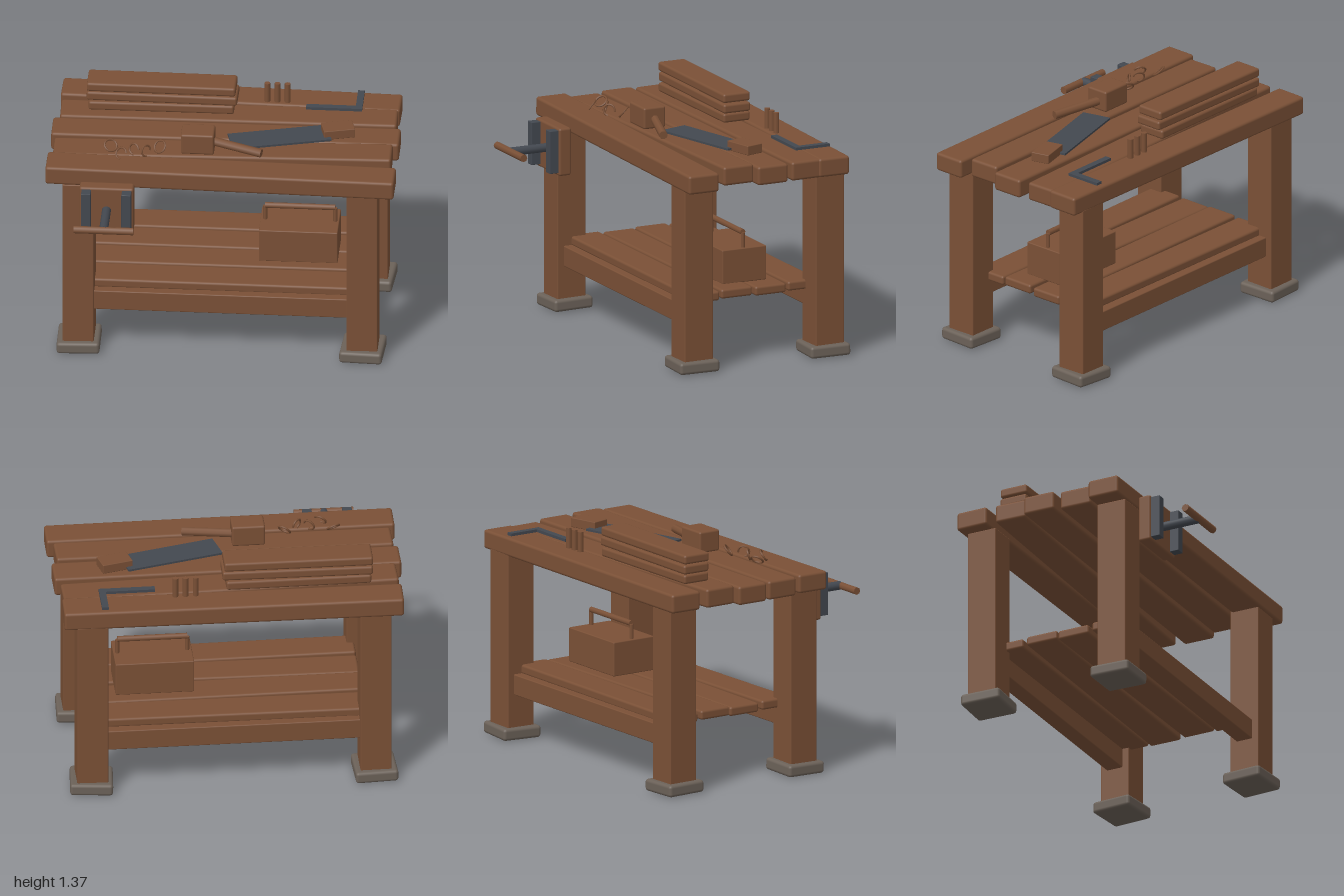
import * as THREE from 'three';
import { RoundedBoxGeometry } from 'three/addons/geometries/RoundedBoxGeometry.js';

const mat = (name, color) => Object.assign(new THREE.MeshStandardMaterial({ color }), { name });

export function createModel() {
  const wood = mat('wood', 0x7a5036);
  const steel = mat('steel', 0x434850);
  const stone = mat('stone', 0x6b6158);
  const model = new THREE.Group();
  model.name = 'workbench';

  const add = (name, geometry, material, pos, rot = [0, 0, 0], parent = model) => {
    const m = new THREE.Mesh(geometry, material);
    m.name = name;
    m.position.set(...pos);
    m.rotation.set(...rot);
    parent.add(m);
    return m;
  };
  // Softly bevelled box
  const block = (name, size, pos, rot, material = wood, bevel = 0.014, parent = model) =>
    add(name, new RoundedBoxGeometry(...size, 2, bevel), material, pos, rot, parent);
  // Round bar between two points
  const bar = (name, a, b, radius, material = wood, sides = 8, parent = model) => {
    const p = new THREE.Vector3(...a), q = new THREE.Vector3(...b);
    const m = add(name, new THREE.CylinderGeometry(radius, radius, p.distanceTo(q), sides), material, [0, 0, 0], [0, 0, 0], parent);
    m.position.copy(p).add(q).multiplyScalar(0.5);
    m.quaternion.setFromUnitVectors(new THREE.Vector3(0, 1, 0), q.sub(p).normalize());
    return m;
  };
  const group = (name) => {
    const g = new THREE.Group();
    g.name = name;
    model.add(g);
    return g;
  };

  // Uneven top boards: length, centre x, y, z, yaw, roll
  [
    [1.94, 0, 1.147, -0.585, -0.018, -0.006],
    [1.92, 0, 1.145, -0.378, 0.021, -0.006],
    [1.985, -0.002, 1.145, -0.163, 0.005, 0],
    [1.93, -0.005, 1.15, 0.05, 0.015, 0.01],
    [1.99, -0.002, 1.148, 0.265, -0.008, -0.008],
  ].forEach(([l, x, y, z, yaw, roll], i) =>
    block('topBoard' + (i + 1), [l, 0.11, 0.192], [x, y, z], [0, yaw, roll], wood, 0.016));

  // Legs and stone feet
  [[-1, 0.26, 0.01, 0.02], [1, 0.26, -0.06, 0.01], [-1, -0.575, 0.04, -0.01], [1, -0.575, -0.08, 0.02]]
    .forEach(([s, z, yaw, tilt]) => {
      block('leg', [0.178, 1.05, 0.18], [s * 0.81, 0.575, z], [0, 0, 0], wood, 0.006);
      block('foot', [0.245, 0.07, 0.245], [s * 0.81, 0.046, z], [tilt * 0.8, yaw, tilt], stone, 0.018);
    });

  // Long rails and shelf boards
  for (const z of [0.26, -0.575])
    block('rail', [1.5, 0.12, 0.1], [0, 0.33, z], [0, 0, 0], wood, 0.006);
  [[0.16, 0.003], [-0.053, -0.005], [-0.262, 0.004], [-0.475, -0.003]].forEach(([z, roll], i) =>
    block('shelfBoard' + (i + 1), [1.53, 0.055, 0.196], [0, 0.41, z], [0, roll, -roll]));

  // Toolbox on the shelf
  const box = group('toolbox');
  block('toolboxBody', [0.45, 0.2, 0.28], [0.42, 0.537, -0.157], [0, 0, 0], wood, 0.006, box);
  for (const x of [0.222, 0.622])
    bar('handlePost', [x, 0.63, -0.157], [x, 0.722, -0.157], 0.012, wood, 8, box);
  bar('handleBar', [0.222, 0.726, -0.157], [0.622, 0.726, -0.157], 0.017, wood, 8, box);

  // Front vise
  const vise = group('vise');
  block('viseJaw', [0.31, 0.28, 0.078], [-0.64, 1.007, 0.417], [0, 0, 0], wood, 0.014, vise);
  for (const x of [-0.755, -0.525])
    block('vicePlate', [0.054, 0.25, 0.06], [x, 1.01, 0.48], [0, 0, 0], steel, 0.003, vise);
  bar('viseScrew', [-0.64, 1.005, 0.36], [-0.64, 1.005, 0.69], 0.026, steel, 10, vise);
  bar('viseHandle', [-0.81, 1.005, 0.69], [-0.47, 1.005, 0.69], 0.022, wood, 8, vise);

  // Stacked planks
  [[-0.385, 1.235, 0.83, 0.006], [-0.38, 1.294, 0.86, -0.012], [-0.385, 1.353, 0.85, -0.006]]
    .forEach(([x, y, l, yaw], i) =>
      block('plank' + (i + 1), [l, 0.054, 0.17], [x, y, -0.415], [0, yaw, 0]));

  // Mallet
  const mallet = group('mallet');
  block('malletHead', [0.19, 0.125, 0.137], [-0.145, 1.268, 0.066], [0, 0, 0], wood, 0.012, mallet);
  bar('malletHandle', [-0.1, 1.262, 0.05], [0.222, 1.238, 0.148], 0.025, wood, 8, mallet);

  // Hand saw
  const saw = group('saw');
  add('sawBlade', new THREE.BoxGeometry(0.57, 0.012, 0.172), steel, [0.31, 1.216, -0.08], [0, 0.257, 0], saw);
  block('sawHandle', [0.18, 0.055, 0.11], [0.637, 1.231, -0.162], [0, 0.257, 0], wood, 0.004, saw);

  // Carpenter's square
  const square = group('square');
  add('squareBlade', new THREE.BoxGeometry(0.32, 0.016, 0.038), steel, [0.595, 1.212, -0.449], [0, 0, 0], square);
  add('squareStock', new THREE.BoxGeometry(0.038, 0.016, 0.215), steel, [0.736, 1.212, -0.5375], [0, 0, 0], square);

  // Pegs
  for (const x of [0.208, 0.266, 0.324])
    bar('peg', [x, 1.19, -0.52], [x, 1.318, -0.52], 0.017);

  // Curled shavings: x, z, radius, tilt, yaw, arc
  [
    [-0.64, 0.115, 0.036, 0.9, 0.3, 6.28],
    [-0.575, 0.205, 0.034, 0.7, -0.5, 4.6],
    [-0.505, 0.15, 0.032, 0.35, -0.6, 4.8],
    [-0.435, 0.165, 0.032, 0.3, 0.8, 4.8],
    [-0.36, 0.11, 0.036, 0.8, -0.5, 6.28],
  ].forEach(([x, z, r, tilt, yaw, arc]) =>
    add('shaving', new THREE.TorusGeometry(r, 0.006, 6, 16, arc), wood, [x, 1.237, z], [-tilt, yaw, 0]));

  return model;
}
